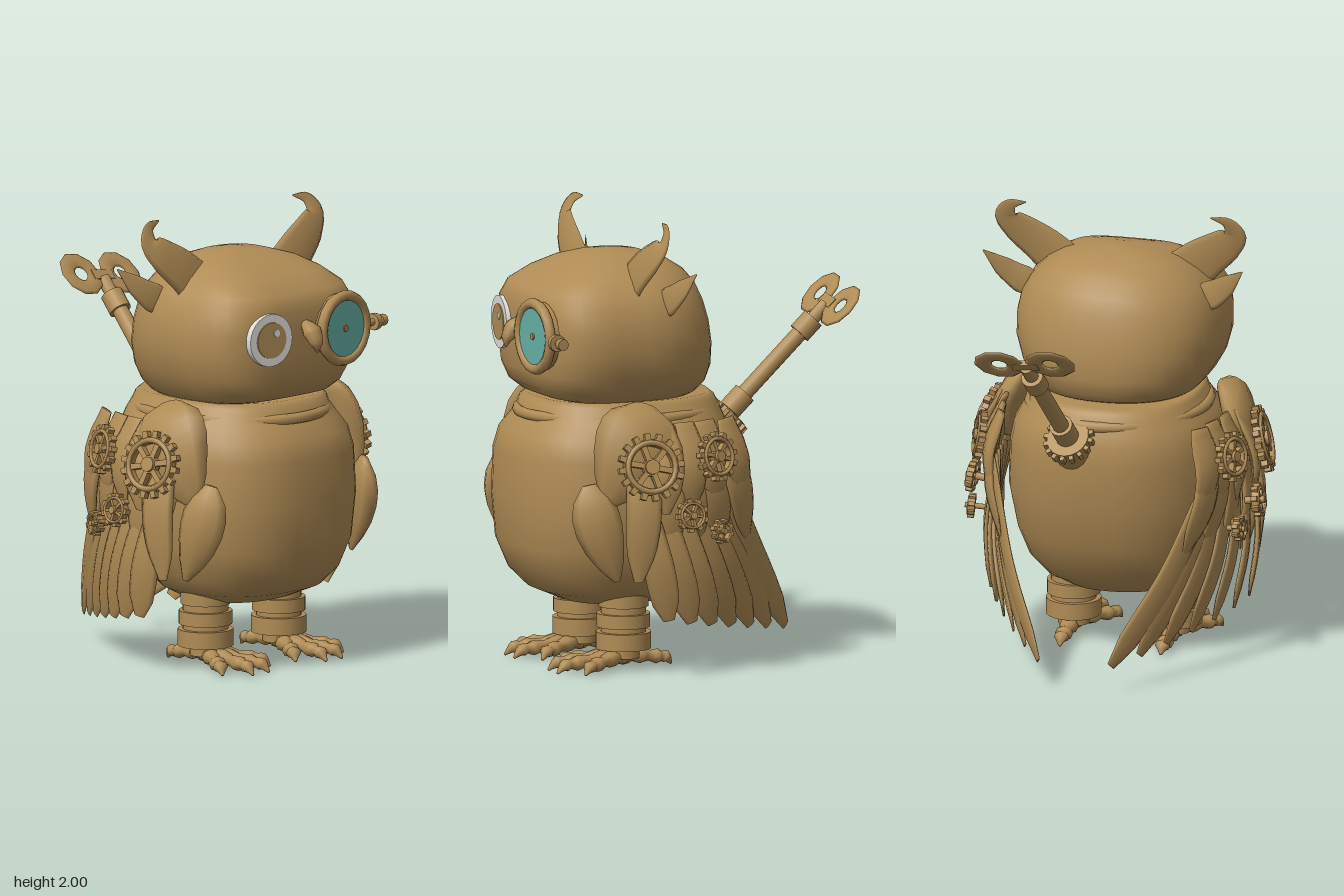
import * as THREE from 'three';

const V = (x, y, z) => new THREE.Vector3(x, y, z);
const mat = (name, color) => Object.assign(new THREE.MeshStandardMaterial({ color }), { name });

// Skin over a list of equal rings, capped at both ends
function loft(rings) {
  const n = rings[0].length, pos = [], idx = [];
  rings.forEach(r => r.forEach(p => pos.push(p.x, p.y, p.z)));
  for (let i = 0; i < rings.length - 1; i++) for (let j = 0; j < n; j++) {
    const a = i * n + j, b = i * n + (j + 1) % n;
    idx.push(a, b, a + n, b, b + n, a + n);
  }
  [0, rings.length - 1].forEach((r, end) => {
    const c = rings[r].reduce((s, p) => s.add(p), V(0, 0, 0)).divideScalar(n), k = pos.length / 3;
    pos.push(c.x, c.y, c.z);
    for (let j = 0; j < n; j++) {
      const a = r * n + j, b = r * n + (j + 1) % n;
      idx.push(k, end ? a : b, end ? b : a);
    }
  });
  const g = new THREE.BufferGeometry();
  g.setAttribute('position', new THREE.Float32BufferAttribute(pos, 3));
  g.setIndex(idx);
  g.computeVertexNormals();
  return g;
}

// Upright rounded form; rows are [y, half width, front z, back z]
function hull(rows, expFront, expBack) {
  return loft(rows.map(([y, w, f, b]) => Array.from({ length: 40 }, (_, j) => {
    const a = j / 40 * Math.PI * 2, c = Math.cos(a), s = Math.sin(a), e = 2 / (c > 0 ? expFront : expBack);
    return V(w * Math.sign(s) * Math.abs(s) ** e, y, (f + b) / 2 + (f - b) / 2 * Math.sign(c) * Math.abs(c) ** e);
  })));
}

// Tapered blade along a curve, with half widths spread over its length
function blade(points, widths, ratio, normal, steps = 12) {
  const curve = new THREE.CatmullRomCurve3(points), rings = [];
  for (let i = 0; i <= steps; i++) {
    const t = i / steps, p = curve.getPoint(t), T = curve.getTangent(t);
    const U = normal.clone().cross(T).normalize(), N = T.clone().cross(U);
    const k = Math.min(t * (widths.length - 1), widths.length - 1.0001), m = Math.floor(k);
    const w = THREE.MathUtils.lerp(widths[m], widths[m + 1], k - m);
    rings.push(Array.from({ length: 8 }, (_, j) => {
      const a = j / 8 * Math.PI * 2;
      return p.clone().addScaledVector(U, w * Math.cos(a)).addScaledVector(N, w * ratio * Math.sin(a));
    }));
  }
  return loft(rings);
}

// Toothed wheel facing +z with spoke windows
function gearGeometry(r, teeth, spokes, depth) {
  const shape = new THREE.Shape(), step = Math.PI * 2 / teeth;
  for (let i = 0; i < teeth; i++) [[0, .83], [.45, .83], [.52, 1], [.93, 1]].forEach(([f, k], j) => {
    const a = (i + f) * step;
    shape[i + j ? 'lineTo' : 'moveTo'](r * k * Math.cos(a), r * k * Math.sin(a));
  });
  for (let i = 0; i < spokes; i++) {
    const a = i / spokes * Math.PI * 2, b = a + Math.PI * 2 / spokes, hole = new THREE.Path();
    hole.absarc(0, 0, r * .62, a + .14, b - .14, false);
    hole.absarc(0, 0, r * .26, b - .3, a + .3, true);
    shape.holes.push(hole);
  }
  return new THREE.ExtrudeGeometry(shape, { depth, bevelEnabled: false, curveSegments: 6 });
}

// Copy reflected across x with its corner order corrected
function mirrored(group, name) {
  const out = new THREE.Group();
  out.name = name;
  group.updateMatrixWorld(true);
  group.traverse(o => {
    if (!o.isMesh) return;
    const g = o.geometry.clone().applyMatrix4(new THREE.Matrix4().makeScale(-1, 1, 1).multiply(o.matrixWorld));
    const idx = g.index ? Array.from(g.index.array) : Array.from({ length: g.attributes.position.count }, (_, i) => i);
    for (let i = 0; i < idx.length; i += 3) [idx[i], idx[i + 2]] = [idx[i + 2], idx[i]];
    g.setIndex(idx);
    const m = new THREE.Mesh(g, o.material);
    m.name = o.name;
    out.add(m);
  });
  return out;
}

export function createModel() {
  const brass = mat('brass', 0xb08c55), white = mat('eyeWhite', 0xe2dfd8);
  const teal = mat('tealLens', 0x66b0a6), copper = mat('copper', 0xb57f45);
  const root = new THREE.Group();
  root.name = 'clockworkOwl';
  const add = (parent, name, geo, p = [0, 0, 0], rot = [0, 0, 0], m = brass) => {
    const mesh = new THREE.Mesh(geo, m);
    mesh.name = name;
    mesh.position.set(...p);
    mesh.rotation.set(...rot);
    parent.add(mesh);
    return mesh;
  };
  const group = name => {
    const g = new THREE.Group();
    g.name = name;
    root.add(g);
    return g;
  };
  const cyl = (r, h, n = 20) => new THREE.CylinderGeometry(r, r, h, n);
  const lerp = THREE.MathUtils.lerp;

  // Body with neck, and head
  add(root, 'body', hull([[.275, .12, .40, .15], [.29, .24, .50, .05], [.34, .345, .62, -.02], [.42, .41, .70, -.1],
    [.55, .455, .755, -.17], [.75, .485, .77, -.23], [.95, .475, .765, -.245], [1.04, .455, .74, -.24],
    [1.1, .42, .69, -.22], [1.15, .38, .665, -.2], [1.18, .37, .655, -.185], [1.2, .35, .63, -.16]], 2.5, 2.3));
  add(root, 'head', hull([[1.19, .32, .54, -.05], [1.21, .355, .62, -.1], [1.25, .39, .67, -.14], [1.32, .43, .695, -.16],
    [1.42, .458, .70, -.16], [1.52, .458, .70, -.145], [1.61, .44, .70, -.12], [1.68, .40, .67, -.09],
    [1.74, .335, .58, -.04], [1.785, .26, .48, .03], [1.815, .16, .38, .12], [1.83, .05, .30, .2]], 3.6, 2.2));

  // Collar ring
  const ring = Array.from({ length: 24 }, (_, i) => V(.39 * Math.sin(i * Math.PI / 12), 1.125, .24 + .44 * Math.cos(i * Math.PI / 12)));
  add(root, 'collar', new THREE.TubeGeometry(new THREE.CatmullRomCurve3(ring, true), 60, .025, 8, true));

  // Beak
  add(root, 'beak', blade([V(0, 1.555, .68), V(0, 1.515, .735), V(0, 1.465, .765), V(0, 1.425, .77)], [.02, .05, .035, .004], .7, V(0, 0, 1)));

  // Open eye
  const eye = group('eye'), flat = [Math.PI / 2, 0, 0];
  eye.position.set(-.22, 1.5, .69);
  eye.rotation.y = -.13;
  add(eye, 'eyeWhite', cyl(.117, .03, 28), [0, 0, 0], flat, white);
  add(eye, 'iris', cyl(.08, .008, 24), [0, 0, .016], flat);
  add(eye, 'glint', cyl(.016, .006, 12), [.025, .03, .022], flat, white);

  // Monocle
  const monocle = group('monocle');
  monocle.position.set(.21, 1.5, .727);
  monocle.rotation.y = .06;
  add(monocle, 'monocleRim', new THREE.TorusGeometry(.145, .024, 8, 20));
  add(monocle, 'monocleBarrel', new THREE.CylinderGeometry(.15, .15, .05, 20, 1, true), [0, 0, -.02], flat);
  add(monocle, 'lens', cyl(.13, .03, 28), [0, 0, -.005], flat, teal);
  add(monocle, 'lensDot', cyl(.015, .006, 10), [0, 0, .013], flat, copper);
  add(monocle, 'knobStem', cyl(.016, .1, 10), [.2, 0, 0], [0, 0, Math.PI / 2]);
  add(monocle, 'knob', cyl(.038, .025, 10), [.205, 0, 0], [0, 0, Math.PI / 2]);
  add(monocle, 'knobTip', cyl(.026, .03, 10), [.255, 0, 0], [0, 0, Math.PI / 2]);

  // Ear tufts
  const ears = group('leftEarTufts');
  add(ears, 'largeTuft', blade([V(.24, 1.67, .305), V(.36, 1.775, .295), V(.465, 1.855, .275), V(.52, 1.915, .25), V(.495, 1.975, .225), V(.42, 1.997, .21)],
    [.115, .1, .08, .053, .028, .003], .17, V(0, .2, 1), 20));
  add(ears, 'smallTuft', blade([V(.34, 1.60, .2), V(.47, 1.68, .17), V(.59, 1.79, .12)], [.05, .065, .045, .003], .17, V(.2, 0, 1)));
  root.add(mirrored(ears, 'rightEarTufts'));

  // Wing: curled shoulder, front pad and three layers of feathers
  const wing = group('leftWing');
  add(wing, 'shoulder', blade([V(.44, 1.2, .3), V(.5, 1.1, .35), V(.525, .95, .43), V(.51, .78, .52)],
    [.05, .15, .18, .185, .16, .11, .03], .36, V(1, .25, .2)));
  add(wing, 'frontPad', blade([V(.48, .87, .59), V(.505, .67, .55), V(.52, .44, .47)], [.03, .085, .105, .105, .09, .06, .015], .5, V(1, 0, .35)));
  for (let i = 0; i < 7; i++) {
    const t = i / 6, a = V(lerp(.54, .5, t), .88, lerp(.4, -.05, t));
    const b = V(.585 - .42 * t ** 1.4, lerp(.26, .13, t), lerp(.25, -.5, t));
    const mid = a.clone().lerp(b, .55).add(V(.04, 0, .02 * t));
    add(wing, 'longFeather', blade([a, mid, b], [.05, .06, .065, .067, .069, .068, .06, .025], .2, V(1, 0, -.85 * t + .25), 14));
  }
  for (let i = 0; i < 5; i++) {
    const t = i / 4, a = V(lerp(.53, .48, t), 1.07, lerp(.36, -.06, t)), b = V(lerp(.59, .42, t), lerp(.44, .58, t), lerp(.4, -.2, t));
    add(wing, 'middleFeather', blade([a, a.clone().lerp(b, .5).add(V(.045, 0, 0)), b], [.05, .07, .08, .078, .065, .02], .22, V(1, 0, .25 - .7 * t)));
  }
  for (let i = 0; i < 4; i++) {
    const t = i / 3, a = V(lerp(.52, .45, t), 1.12, lerp(.26, -.08, t)), b = V(lerp(.61, .47, t), .74, lerp(.28, -.16, t));
    add(wing, 'shortFeather', blade([a, a.clone().lerp(b, .5).add(V(.04, 0, 0)), b], [.055, .08, .08, .065, .02], .25, V(1, 0, .2 - .7 * t)));
  }

  // Wing gears: position, radius, teeth, spokes, facing
  [[[.605, .95, .35], .15, 16, 6, [1, .25, .15]], [[.56, .97, .02], .11, 13, 6, [1, .2, -.35]],
    [[.635, .73, .17], .075, 9, 5, [1, .15, 0]], [[.595, .645, .01], .055, 8, 4, [1, .1, -.2]]].forEach(([p, r, n, s, f]) => {
    const gear = new THREE.Group();
    gear.name = 'wingGear';
    gear.position.set(...p);
    gear.quaternion.setFromUnitVectors(V(0, 0, 1), V(...f).normalize());
    wing.add(gear);
    add(gear, 'gearWheel', gearGeometry(r, n, s, .03));
    add(gear, 'gearHub', cyl(r * .22, .09, 12), [0, 0, 0], flat);
    add(gear, 'gearRim', new THREE.TorusGeometry(r * .72, r * .08, 6, 24), [0, 0, .03]);
  });
  root.add(mirrored(wing, 'rightWing'));

  // Leg stack and clawed foot
  const leg = group('leftLeg');
  [[.315, .11, .07], [.265, .1, .03], [.22, .118, .06], [.18, .1, .04], [.13, .122, .075], [.075, .07, .05]].forEach(([y, r, h]) =>
    add(leg, 'legBand', cyl(r, h, 24), [.23, y, .31]));
  [[-.15, .25], [-.05, .34], [.05, .34], [.15, .25], [0, -.23]].forEach(([dx, dz]) => {
    const at = (k, y) => V(.23 + dx * k, y, .31 + dz * k);
    add(leg, 'toe', blade([at(0, .055), at(.35, .055), at(.7, .045), at(.88, .04), at(1, .008)],
      [.045, .03, .044, .027, .04, .025, .034, .018, .006], .85, V(0, 1, 0), 16));
  });
  root.add(mirrored(leg, 'rightLeg'));

  // Winding key
  const key = group('windingKey');
  key.position.set(.09, 1.02, -.19);
  key.quaternion.setFromUnitVectors(V(0, 1, 0), V(.1, .71, -.69).normalize());
  add(key, 'keyMount', cyl(.095, .15), [0, .02, 0]);
  add(key, 'keyGear', gearGeometry(.115, 16, 0, .035), [0, .055, 0], [-Math.PI / 2, 0, 0]);
  add(key, 'keySocket', cyl(.052, .1, 16), [0, .15, 0]);
  add(key, 'keyShaft', cyl(.036, .55, 16), [0, .36, 0]);
  add(key, 'keyCollar', cyl(.05, .09, 16), [0, .6, 0]);
  add(key, 'keyNeck', cyl(.03, .1, 12), [0, .68, 0]);
  add(key, 'keyBridge', new THREE.BoxGeometry(.12, .05, .025), [0, .745, 0]);
  [-1, 1].forEach(s => add(key, 'keyLoop', new THREE.TorusGeometry(.074, .04, 8, 10).scale(1, 1, .25), [s * .118, .758, 0]));
  return root;
}
